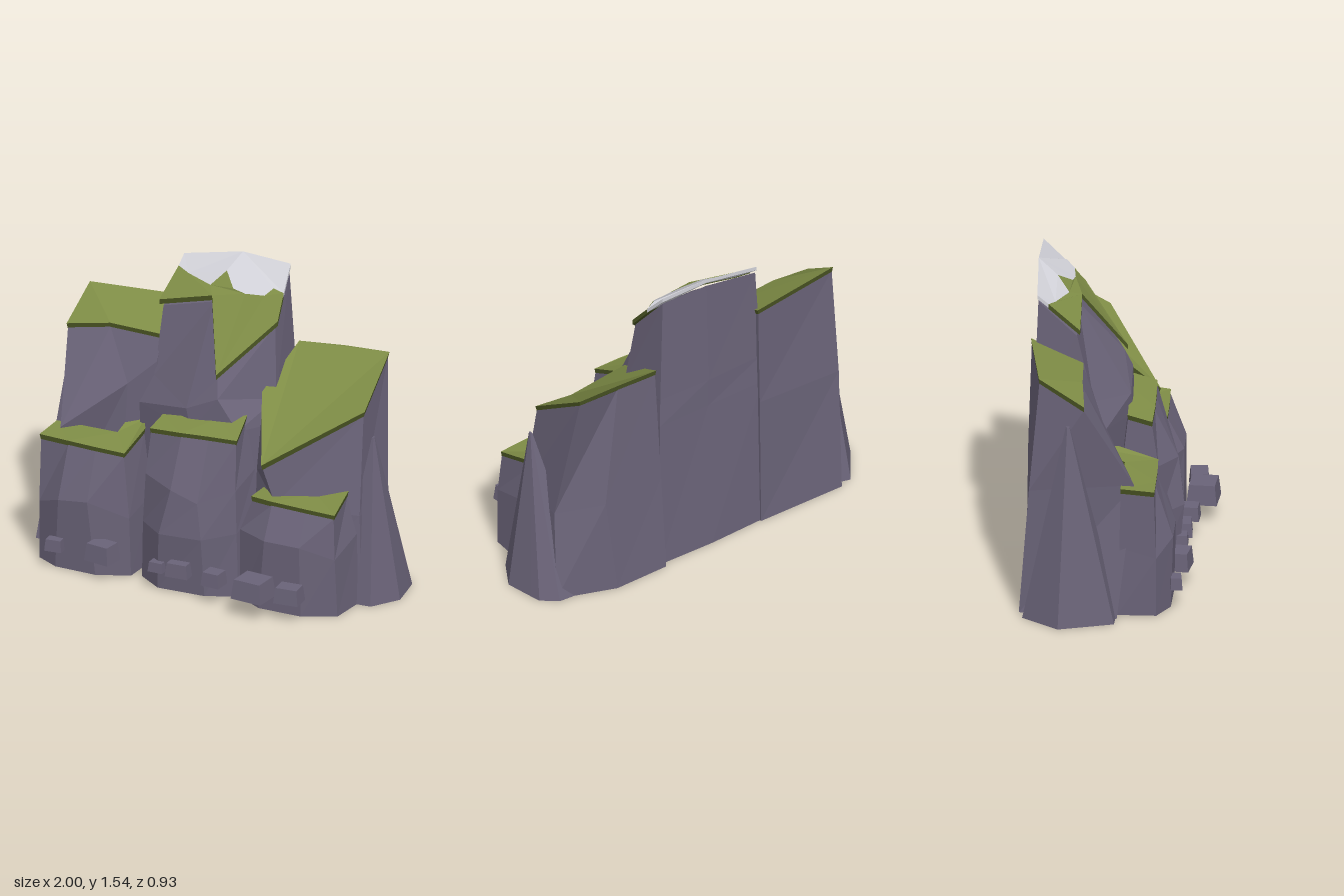
import * as THREE from 'three';

const mat = (name, color) => new THREE.MeshStandardMaterial({ name, color, flatShading: true, side: THREE.DoubleSide });

// Closed faceted solid through rings of corners, bottom to top, each ring clockwise from above
function loft(rings) {
  const pos = [];
  const tri = (a, b, c) => pos.push(...a, ...b, ...c);
  const n = rings[0].length;
  for (let r = 0; r < rings.length - 1; r++) {
    for (let i = 0; i < n; i++) {
      const j = (i + 1) % n, lo = rings[r], hi = rings[r + 1];
      tri(lo[j], lo[i], hi[i]);
      tri(lo[j], hi[i], hi[j]);
    }
  }
  const lid = (ring, up) => {
    const flat = ring.map(p => new THREE.Vector2(p[0], p[2]));
    for (const f of THREE.ShapeUtils.triangulateShape(flat, [])) {
      const [a, b, c] = f.map(k => ring[k]);
      const ny = (b[2] - a[2]) * (c[0] - a[0]) - (b[0] - a[0]) * (c[2] - a[2]);
      if ((ny > 0) === up) tri(a, b, c); else tri(a, c, b);
    }
  };
  const topStart = pos.length / 3;
  lid(rings[rings.length - 1], true);
  const topEnd = pos.length / 3;
  lid(rings[0], false);
  const g = new THREE.BufferGeometry();
  g.setAttribute('position', new THREE.Float32BufferAttribute(pos, 3));
  // group 0: sides and underside, group 1: upper surface
  g.addGroup(0, topStart, 0);
  g.addGroup(topStart, topEnd - topStart, 1);
  g.addGroup(topEnd, pos.length / 3 - topEnd, 0);
  g.computeVertexNormals();
  return g;
}

const lower = (ring, d) => ring.map(([x, y, z]) => [x, y - d, z]);

// Scale a ring sideways about its middle
function widen(ring, s) {
  const cx = ring.reduce((t, p) => t + p[0], 0) / ring.length;
  const cz = ring.reduce((t, p) => t + p[2], 0) / ring.length;
  return ring.map(([x, y, z]) => [cx + (x - cx) * s, y, cz + (z - cz) * s]);
}

// Rough, slightly hollow underside: two inset rings of uneven height
function hollow(base) {
  const rough = (s, h) => widen(base, s).map(([x, , z], i) => [x, h * (.3 + .7 * ((i * 5 + 2) % 7) / 6), z]);
  return [rough(.4, .06), rough(.75, .09)];
}

// Summit tower without its cap
const TOWER = [
  [[-.34, 0, -.44], [0, 0, -.45], [.31, 0, -.44], [.32, 0, -.1], [.2, 0, .06], [-.05, 0, .08], [-.38, 0, -.08]],
  [[-.33, .8, -.42], [0, .8, -.42], [.3, .8, -.42], [.31, .8, -.12], [.2, .8, .05], [-.05, .76, .06], [-.39, .8, -.06]],
  [[-.33, .95, -.41], [0, .95, -.42], [.29, .95, -.41], [.31, .92, -.15], [.09, .95, .05], [-.08, .87, .05], [-.34, .93, -.12]],
  [[-.31, 1.44, -.39], [0, 1.5, -.4], [.26, 1.5, -.39], [.28, 1.28, -.2], [.07, 1.04, .01], [-.06, 1.34, -.21], [-.33, 1.27, -.2]],
];
// Ragged line where snow meets grass, left edge to right edge of the tower cap
const SNOW_LINE = [[-.318, 1.43, -.34], [-.25, 1.415, -.31], [-.1, 1.405, -.25], [-.04, 1.47, -.31], [.03, 1.415, -.24],
  [.1, 1.405, -.23], [.2, 1.41, -.24], [.23, 1.44, -.28], [.28, 1.42, -.29]];
const SNOW_BACK = [[-.315, 1.475, -.395], [0, 1.542, -.405], [.265, 1.533, -.395]];
const GRASS_FRONT = [[.295, 1.31, -.195], [.07, 1.065, .025], [-.06, 1.38, -.19], [-.345, 1.305, -.185]];

// Each lower rock: base, middle(s), then the outline of its grassy top
const ROCKS = {
  leftBackRock: [
    [[-.79, 0, -.46], [-.3, 0, -.45], [-.33, 0, -.12], [-.5, 0, -.05], [-.85, 0, .02]],
    [[-.81, .65, -.41], [-.3, .7, -.44], [-.33, 1, -.13], [-.46, .88, -.07], [-.74, .66, .1]],
    [[-.81, 1.24, -.36], [-.3, 1.24, -.425], [-.32, 1.13, -.17], [-.6, 1.14, -.16], [-.825, 1.1, -.14]],
  ],
  rightBackRock: [
    [[.3, 0, -.47], [.6, 0, -.47], [.89, 0, -.36], [.85, 0, 0], [.45, 0, .16], [.28, 0, .04]],
    [[.3, .5, -.43], [.65, .5, -.44], [.85, .45, -.29], [.83, .45, -.02], [.45, .5, .14], [.28, .6, 0]],
    [[.31, 1.13, -.4], [.55, 1.15, -.41], [.79, 1.16, -.415], [.815, .97, -.1], [.39, .705, .165], [.265, .97, -.09]],
  ],
  leftFrontRock: [
    [[-.8, 0, .02], [-.46, 0, .03], [-.46, 0, -.04], [-.38, 0, -.09], [-.29, 0, -.01], [-.3, 0, .21], [-.46, 0, .28], [-.68, 0, .275], [-.8, 0, .21]],
    [[-.79, .35, .03], [-.46, .35, .04], [-.46, .35, -.03], [-.38, .35, -.09], [-.3, .35, -.01], [-.31, .3, .21], [-.5, .38, .29], [-.66, .36, .285], [-.8, .3, .21]],
    [[-.79, .66, .035], [-.46, .665, .04], [-.455, .69, -.03], [-.38, .7, -.09], [-.33, .695, 0], [-.345, .635, .195], [-.5, .64, .2], [-.65, .645, .2], [-.8, .65, .2]],
  ],
  centreFrontRock: [
    [[-.24, 0, 0], [.1, 0, -.02], [.29, 0, -.02], [.28, 0, .2], [.13, 0, .27], [-.12, 0, .28], [-.25, 0, .19]],
    [[-.23, .4, .02], [.1, .4, 0], [.29, .4, 0], [.27, .33, .2], [.12, .3, .29], [-.1, .3, .31], [-.24, .3, .2]],
    [[-.22, .6, .02], [.1, .6, 0], [.27, .6, 0], [.26, .55, .19], [.09, .48, .27], [-.05, .53, .28], [-.23, .55, .19]],
    [[-.21, .81, .04], [.08, .84, .04], [.22, .87, -.01], [.25, .805, .16], [.1, .8, .165], [-.05, .79, .165], [-.22, .78, .16]],
  ],
  rightFrontRock: [
    [[.3, 0, -.04], [.6, 0, -.04], [.84, 0, -.02], [.82, 0, .2], [.66, 0, .28], [.43, 0, .28], [.29, 0, .2]],
    [[.3, .36, -.02], [.6, .36, -.02], [.82, .36, -.02], [.81, .3, .21], [.65, .36, .28], [.46, .36, .28], [.29, .36, .2]],
    [[.35, .54, .04], [.62, .545, .03], [.77, .575, -.02], [.8, .53, .195], [.65, .535, .2], [.46, .54, .2], [.35, .545, .195]],
  ],
};

// Narrow side spires: apex, then base corners
const SPIRES = {
  leftSpire: [[-.835, 1, -.22], [[-.86, -.44], [-.72, -.4], [-.72, .02], [-.92, .01], [-1, -.26]]],
  rightSpire: [[.86, .84, -.11], [[.72, -.4], [.89, -.385], [.965, -.32], [.975, -.27], [1, -.12], [.91, .02], [.72, .03]]],
};

// Loose boulders: x, z, width, height, depth, turn
const BOULDERS = [
  [-.67, .3, .09, .06, .06, .1], [-.41, .305, .14, .09, .11, -.15], [-.11, .3, .08, .05, .06, 0],
  [.01, .305, .12, .07, .08, .05], [.21, .325, .1, .07, .09, -.06], [.45, .375, .17, .1, .15, -.08],
  [.63, .345, .13, .08, .1, .08],
];

export function createModel() {
  const model = new THREE.Group();
  const rock = mat('rock', 0x6a6378);
  const grass = mat('grass', 0x7f8d46);
  const rim = mat('grassEdge', 0x4a5523);
  const snow = mat('snow', 0xd3d3da);
  const add = (name, geo, m) => {
    const mesh = new THREE.Mesh(geo, m);
    mesh.name = name;
    model.add(mesh);
    return mesh;
  };

  // Rocks with slightly overhanging grass caps
  for (const [name, rings] of Object.entries(ROCKS)) {
    const top = rings[rings.length - 1];
    add(name, loft([...hollow(rings[0]), ...rings.slice(0, -1), widen(lower(top, .02), .985)]), rock);
    add(name + 'Grass', loft([widen(lower(top, .026), .99), widen(top, 1.01)]), [rim, grass]);
  }

  // Summit tower, grass in front and snow behind a shared ragged line
  add('centreTower', loft([...hollow(TOWER[0]), ...TOWER]), rock);
  const towerGrass = [...SNOW_LINE, ...GRASS_FRONT];
  add('centreTowerGrass', loft([lower(towerGrass, .025), towerGrass]), [rim, grass]);
  const [backLeft, peak, backRight] = SNOW_BACK;
  const snowHalves = {
    summitSnowLeft: [backLeft, peak, ...SNOW_LINE.slice(0, 5).reverse()],
    summitSnowRight: [peak, backRight, ...SNOW_LINE.slice(4).reverse()],
  };
  for (const [name, ring] of Object.entries(snowHalves)) add(name, loft([lower(ring, .02), ring]), snow);

  // Side spires
  for (const [name, [apex, foot]] of Object.entries(SPIRES)) {
    const base = foot.map(([x, z]) => [x, 0, z]);
    const tip = foot.map(([x, z]) => [apex[0] + (x - apex[0]) * .04, apex[1], apex[2] + (z - apex[2]) * .04]);
    add(name, loft([...hollow(base), base, tip]), rock);
  }

  // Boulders along the front
  BOULDERS.forEach(([x, z, w, h, d, turn], i) => {
    const geo = new THREE.CylinderGeometry(.6, .7, 1, 4).rotateY(Math.PI / 4).scale(w, h, d);
    const mesh = add('boulder' + (i + 1), geo, rock);
    mesh.position.set(x, .1 + h / 2, z);
    mesh.rotation.y = turn;
  });
  return model;
}
